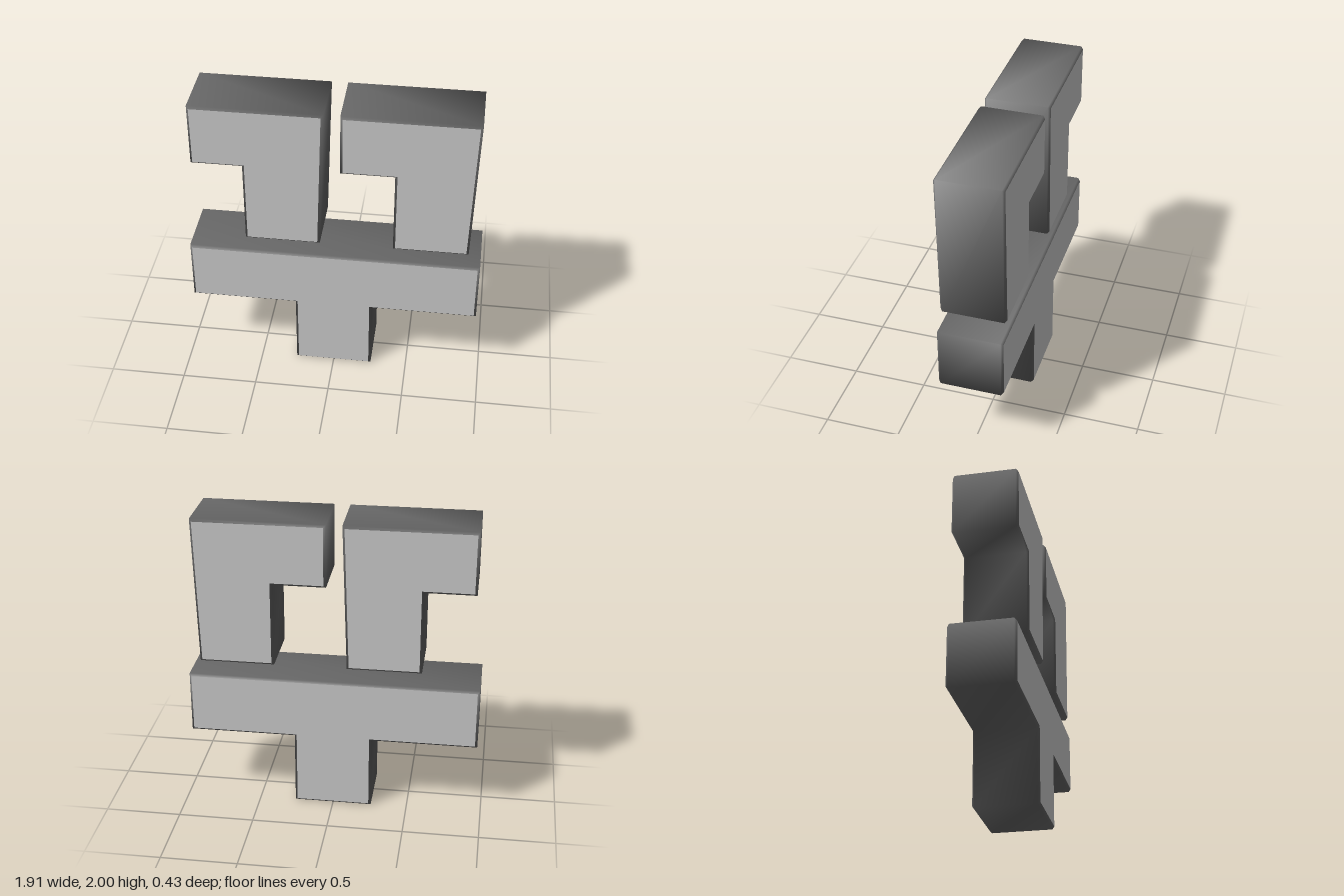
import * as THREE from 'three';
import { mergeVertices } from 'three/addons/utils/BufferGeometryUtils.js';

const HALF_DEPTH = 0.214;
const BEVEL = 0.015;

// Outlines in x, y, counter-clockwise
const OUTLINES = {
  lowerBlock: [
    [-0.258, 0], [0.258, 0], [0.258, 0.5], [0.957, 0.5],
    [0.957, 0.918], [-0.957, 0.918], [-0.957, 0.5], [-0.258, 0.5],
  ],
  upperRightBlock: [
    [-0.578, 1.02], [-0.09, 1.02], [-0.06, 2], [-0.907, 2], [-0.907, 1.582], [-0.578, 1.582],
  ],
  upperLeftBlock: [
    [0.387, 1.02], [0.876, 1.02], [0.905, 2], [0.043, 2], [0.043, 1.582], [0.387, 1.582],
  ],
};

// Take one group of an extrusion as its own geometry
function pick(source, group) {
  const { start, count } = group;
  const positions = source.attributes.position.array.slice(start * 3, (start + count) * 3);
  const geometry = new THREE.BufferGeometry();
  geometry.setAttribute('position', new THREE.BufferAttribute(positions, 3));
  return geometry;
}

export function createModel() {
  const faceGrey = new THREE.MeshStandardMaterial({ color: 0xcccccc });
  faceGrey.name = 'light grey';
  const sideGrey = new THREE.MeshStandardMaterial({ color: 0x666666 });
  sideGrey.name = 'dark grey';

  const model = new THREE.Group();
  model.name = 'blocks';

  for (const [name, points] of Object.entries(OUTLINES)) {
    const shape = new THREE.Shape(points.map(([x, y]) => new THREE.Vector2(x, y)));
    const solid = new THREE.ExtrudeGeometry(shape, {
      depth: 2 * (HALF_DEPTH - BEVEL),
      bevelEnabled: true,
      bevelSegments: 1,
      bevelSize: BEVEL,
      bevelThickness: BEVEL,
      bevelOffset: -BEVEL,
    });
    solid.translate(0, 0, BEVEL - HALF_DEPTH);

    const block = new THREE.Group();
    block.name = name;

    // Flat light faces, front and back
    const lids = pick(solid, solid.groups[0]);
    lids.computeVertexNormals();
    const faces = new THREE.Mesh(lids, faceGrey);
    faces.name = 'frontAndBackFaces';

    // Dark bevelled rim, shaded smoothly across its corners
    const rim = mergeVertices(pick(solid, solid.groups[1]), 1e-4);
    rim.computeVertexNormals();
    const sides = new THREE.Mesh(rim, sideGrey);
    sides.name = 'bevelledSides';

    block.add(faces, sides);
    model.add(block);
  }
  return model;
}
